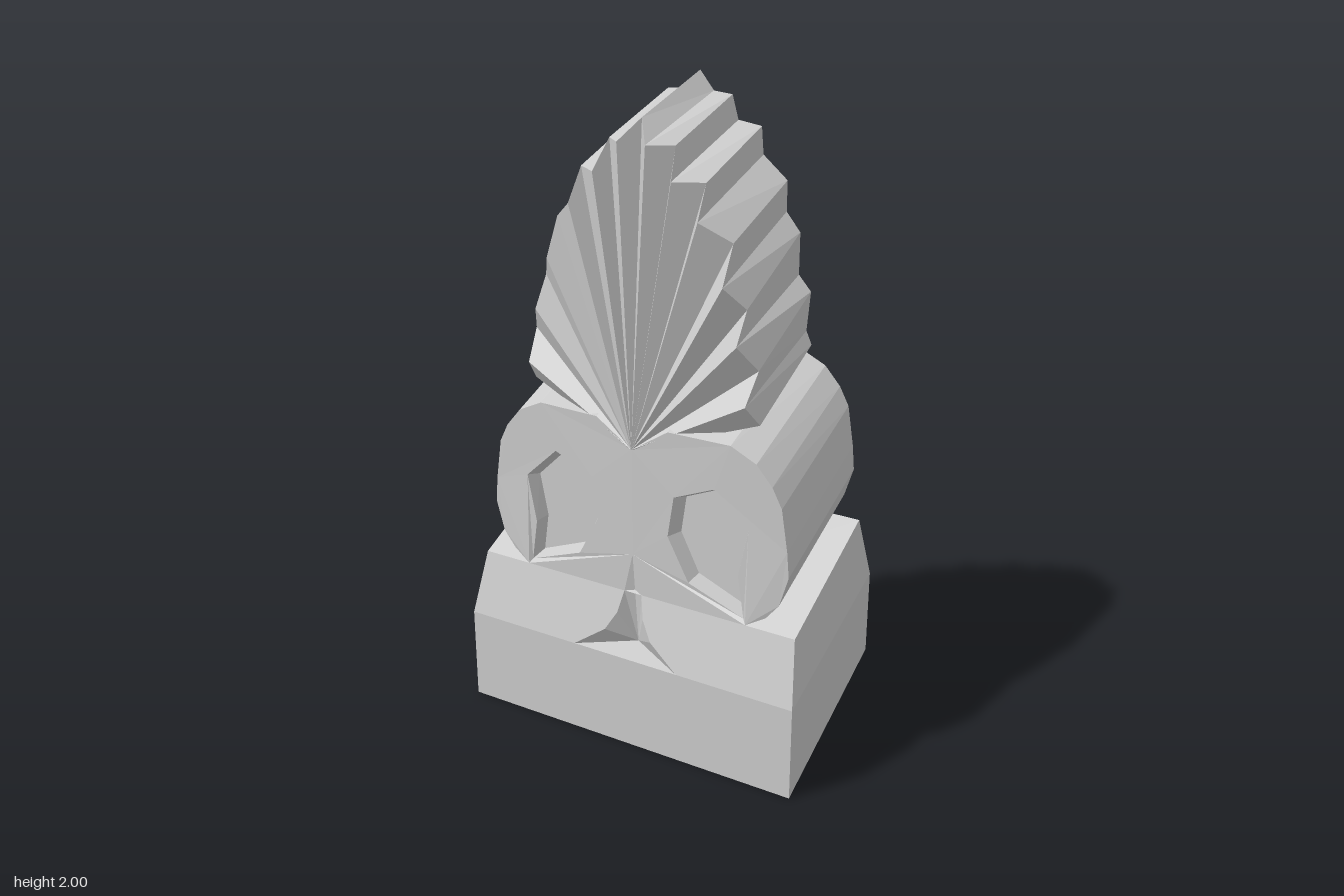
import * as THREE from 'three';

const V = (x, y, z) => new THREE.Vector3(x, y, z);
const at = (p, x) => V(x, p.y, p.z);

// Collects faces of the +x half and mirrors them into one flat-shaded mesh
class HalfMesh {
  constructor() { this.tris = []; }
  face(...p) {
    for (let i = 1; i < p.length - 1; i++) this.tris.push([p[0], p[i], p[i + 1]]);
  }
  // Flat outline with optional hole, lifted to z = depth(x, y), facing front (1) or back (-1)
  sheet(outline, holes, depth, facing) {
    const all = [...outline, ...holes.flat()];
    for (const t of THREE.ShapeUtils.triangulateShape(outline, holes)) {
      const q = t.map((i) => all[i]);
      if (THREE.ShapeUtils.area(q) * facing < 0) q.reverse();
      this.face(...q.map((p) => V(p.x, p.y, depth(p.x, p.y))));
    }
  }
  build(name) {
    const pos = [];
    for (const [a, b, c] of this.tris) {
      for (const p of [a, b, c]) pos.push(p.x, p.y, p.z);
      for (const p of [a, c, b]) pos.push(-p.x, p.y, p.z);
    }
    const g = new THREE.BufferGeometry();
    g.setAttribute('position', new THREE.Float32BufferAttribute(pos, 3));
    g.computeVertexNormals();
    const mesh = new THREE.Mesh(g, new THREE.MeshStandardMaterial({ color: 0xcccccc, flatShading: true }));
    mesh.name = name;
    return mesh;
  }
}

const pts2 = (list) => list.map(([x, y]) => new THREE.Vector2(x, y));
const frontZ = (x, y) => (y > 0.5 ? 0.21 - 0.06 * x * x : 0.21 + (0.5 - y) * 0.275);

// Curved edge of the small niche between the scrolls
const niche = pts2([[0, 0.63], [0.03, 0.5], [0.045, 0.43], [0.08, 0.37], [0.18, 0.3]]);

function plinth() {
  const m = new HalfMesh();
  const FB = V(0.565, 0, 0.265), FM = V(0.565, 0.3, 0.265), FT = V(0.54, 0.5, 0.21);
  const BB = V(0.565, 0.23, -0.265), BM = V(0.565, 0.5, -0.265), BT = V(0.535, 0.69, -0.23);
  m.face(FB, BB, BM, FM);
  m.face(FM, BM, BT, FT);
  for (const [a, b] of [[FB, BB], [BB, BM], [BM, BT], [BT, FT], [FM, FB]]) {
    m.face(a, at(a, 0), at(b, 0), b);
  }
  // Sloping front, cut by the niche
  m.sheet([...pts2([[0.54, 0.5], [0.565, 0.3]]), ...niche.slice(1).reverse()], [], frontZ, 1);
  const inner = V(0, 0.32, 0.18);
  const edge = niche.map((p) => V(p.x, p.y, frontZ(p.x, p.y)));
  for (let i = 0; i < edge.length - 1; i++) m.face(inner, edge[i + 1], edge[i]);
  m.face(inner, V(0, 0.3, 0.265), edge[edge.length - 1]);
  return m.build('plinth');
}

function scrolls() {
  const m = new HalfMesh();
  const rim = pts2([[0.12, 1.05], [0.32, 1.05], [0.4, 1.01], [0.45, 0.95], [0.48, 0.89], [0.5, 0.76],
    [0.507, 0.68], [0.48, 0.585], [0.44, 0.535], [0.38, 0.5]]);
  const eye = pts2([[0.27, 0.905], [0.14, 0.85], [0.12, 0.72], [0.19, 0.585], [0.37, 0.515],
    [0.35, 0.65], [0.38, 0.8]]);
  const outline = [new THREE.Vector2(0, 0.97), ...rim, niche[1], niche[0]];
  m.sheet(outline, [eye], frontZ, 1);

  // Rim wall, rising toward the back
  const front = rim.map((p) => V(p.x, p.y, frontZ(p.x, p.y)));
  const back = rim.map((p) => V(p.x, p.y + 0.15 + 0.055 * (1.05 - p.y), -0.235));
  for (let i = 0; i < rim.length - 1; i++) m.face(front[i], front[i + 1], back[i + 1], back[i]);
  const backOutline = [new THREE.Vector2(0, 1.2), ...back.map((p) => new THREE.Vector2(p.x, p.y)),
    new THREE.Vector2(0, 0.67)];
  m.sheet(backOutline, [], () => -0.235, -1);

  // Sunken eye of the scroll
  const floor = eye.map((p) => new THREE.Vector2(0.25 + (p.x - 0.25) * 0.86, 0.73 + (p.y - 0.73) * 0.9));
  const top = eye.map((p) => V(p.x, p.y, frontZ(p.x, p.y)));
  const low = floor.map((p) => V(p.x, p.y, 0.16));
  for (let i = 0; i < eye.length; i++) {
    const j = (i + 1) % eye.length;
    m.face(top[i], top[j], low[j], low[i]);
  }
  m.sheet(floor, [], () => 0.16, 1);
  return m.build('scrolls');
}

function palmette() {
  const m = new HalfMesh();
  // Rim points from the apex down: x, front height, back height; tips and ridges alternate
  const rim = [[0, 1.92, 2], [0.045, 1.86, 1.945], [0.105, 1.855, 1.94], [0.125, 1.77, 1.87],
    [0.2, 1.765, 1.86], [0.207, 1.67, 1.78], [0.285, 1.61, 1.715], [0.285, 1.5, 1.625],
    [0.33, 1.43, 1.57], [0.33, 1.34, 1.445], [0.37, 1.26, 1.4], [0.36, 1.17, 1.28], [0.378, 1.1, 1.24]];
  const front = rim.map(([x, y], i) => V(x, y, i % 2 ? 0.2 : 0.14));
  const back = rim.map(([x, , y]) => V(x, y, -0.18));
  const heart = V(0, 0.97, 0.212), backHeart = V(0, 1.2, -0.235), corner = V(0.32, 1.2, -0.235);
  const n = rim.length - 1;
  for (let i = 0; i < n; i++) {
    m.face(heart, front[i + 1], front[i]);
    m.face(backHeart, back[i], back[i + 1]);
    m.face(front[i], front[i + 1], back[i + 1], back[i]);
  }
  m.face(backHeart, back[n], corner);
  m.face(front[n], heart, backHeart, corner, back[n]);
  return m.build('palmette');
}

export function createModel() {
  const group = new THREE.Group();
  group.name = 'roofOrnament';
  group.add(plinth(), scrolls(), palmette());
  return group;
}
